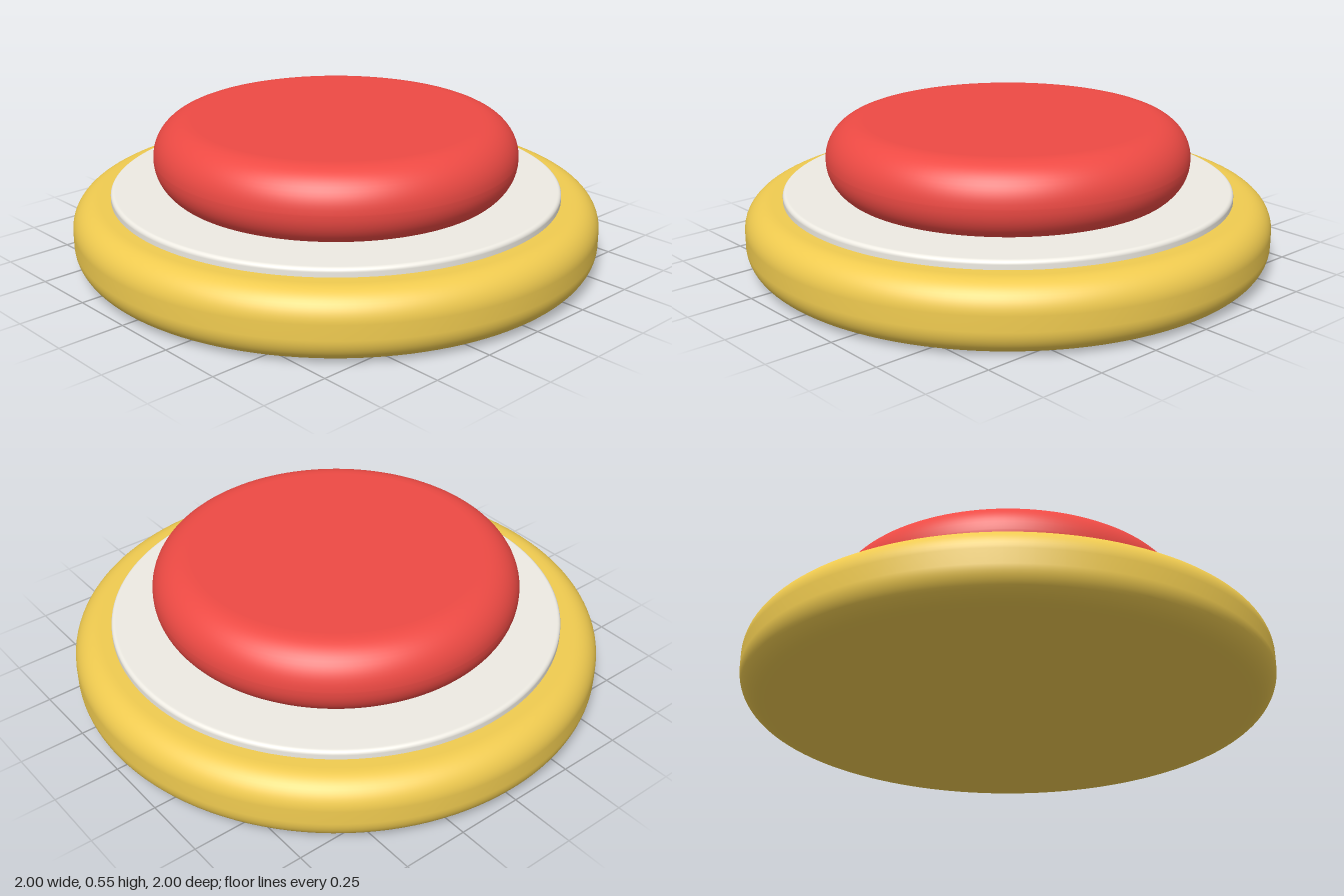
import * as THREE from 'three';

// Solid disc with rounded rims, turned from a profile that runs bottom to top
function roundedDisc(name, radius, bottom, top, bevel, color) {
  const steps = 14;
  const inner = radius - bevel;
  const points = [new THREE.Vector2(0, bottom), new THREE.Vector2(inner - 0.005, bottom)];
  const addArc = (centreY, startAngle) => {
    for (let i = 0; i <= steps; i++) {
      const a = startAngle + (i / steps) * Math.PI / 2;
      points.push(new THREE.Vector2(inner + bevel * Math.cos(a), centreY + bevel * Math.sin(a)));
    }
  };
  addArc(bottom + bevel, -Math.PI / 2);
  addArc(top - bevel - 0.0001, 0);
  points.push(new THREE.Vector2(inner - 0.005, top), new THREE.Vector2(0, top));

  const material = new THREE.MeshStandardMaterial({ color });
  const mesh = new THREE.Mesh(new THREE.LatheGeometry(points, 128), material);
  mesh.name = name;
  return mesh;
}

export function createModel() {
  const model = new THREE.Group();
  model.name = 'pushButton';
  model.add(
    // Wide yellow housing
    roundedDisc('base', 1, 0, 0.255, 0.1, 0xf0cb50),
    // Thin pale plate set into the housing
    roundedDisc('collar', 0.855, 0.235, 0.287, 0.015, 0xeeebe3),
    // Red cap with a fully rounded rim
    roundedDisc('cap', 0.69, 0.26, 0.545, 0.14, 0xee4a44),
  );
  return model;
}
